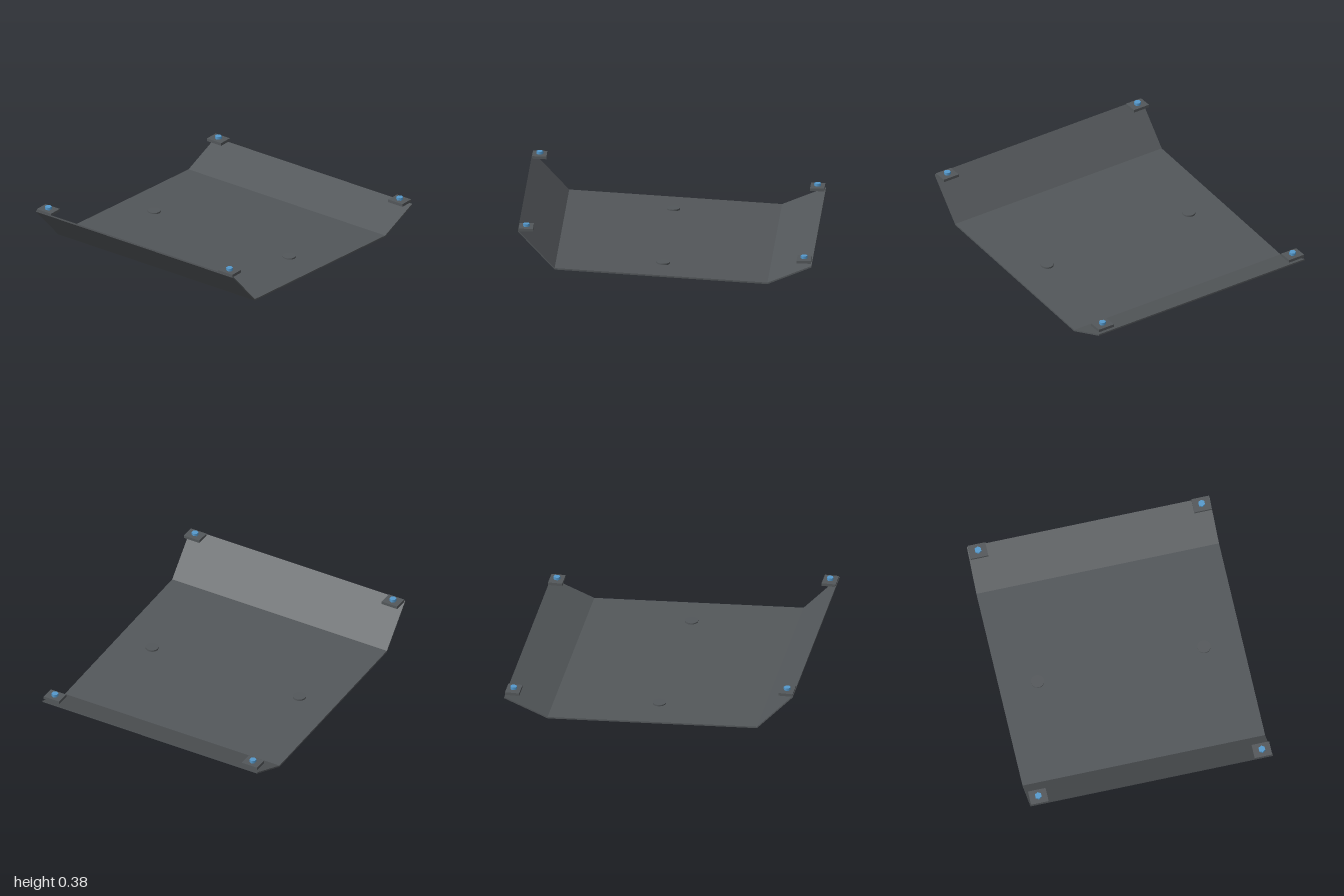
import * as THREE from 'three';

export function createModel() {
  const model = new THREE.Group();
  model.name = 'skidPlate';

  const plateGrey = new THREE.MeshStandardMaterial({ color: 0x53575a });
  plateGrey.name = 'plateGrey';
  const boltBlue = new THREE.MeshStandardMaterial({ color: 0x5599cc });
  boltBlue.name = 'boltBlue';

  const add = (name, geometry, material, x, y, z) => {
    const mesh = new THREE.Mesh(geometry, material);
    mesh.name = name;
    mesh.position.set(x, y, z);
    model.add(mesh);
    return mesh;
  };

  // Bent sheet: side profile as [z, top y, bottom y], extruded across the width
  const width = 1.69;
  const bends = [[1, 0.355, 0.343], [0.75, 0.087, 0.076], [-0.7, 0.011, 0], [-1, 0.136, 0.125]];
  const outline = [
    ...bends.map(([z, top]) => new THREE.Vector2(-z, top)),
    ...bends.slice().reverse().map(([z, , bottom]) => new THREE.Vector2(-z, bottom)),
  ];
  const sheet = new THREE.ExtrudeGeometry(new THREE.Shape(outline), { depth: width, bevelEnabled: false });
  sheet.translate(0, 0, -width / 2);
  sheet.rotateY(Math.PI / 2);
  add('bentSheet', sheet, plateGrey, 0, 0, 0);

  // Mounting pads with hexagonal bolts at the corners, drain covers in the floor
  const padGeometry = new THREE.BoxGeometry(0.122, 0.02, 0.098);
  const boltGeometry = new THREE.CylinderGeometry(0.024, 0.024, 0.022, 6);
  const coverGeometry = new THREE.CylinderGeometry(0.045, 0.045, 0.016, 24);
  for (const side of [-1, 1]) {
    const name = side > 0 ? 'left' : 'right';
    for (const [end, y, z] of [['Front', 0.353, 0.947], ['Back', 0.16, -0.947]]) {
      add(`${name}${end}Pad`, padGeometry, plateGrey, side * 0.779, y, z);
      add(`${name}${end}Bolt`, boltGeometry, boltBlue, side * 0.779, y + 0.018, z);
    }
    add(`${name}DrainCover`, coverGeometry, plateGrey, side * 0.58, 0.051, 0.025);
  }

  return model;
}
